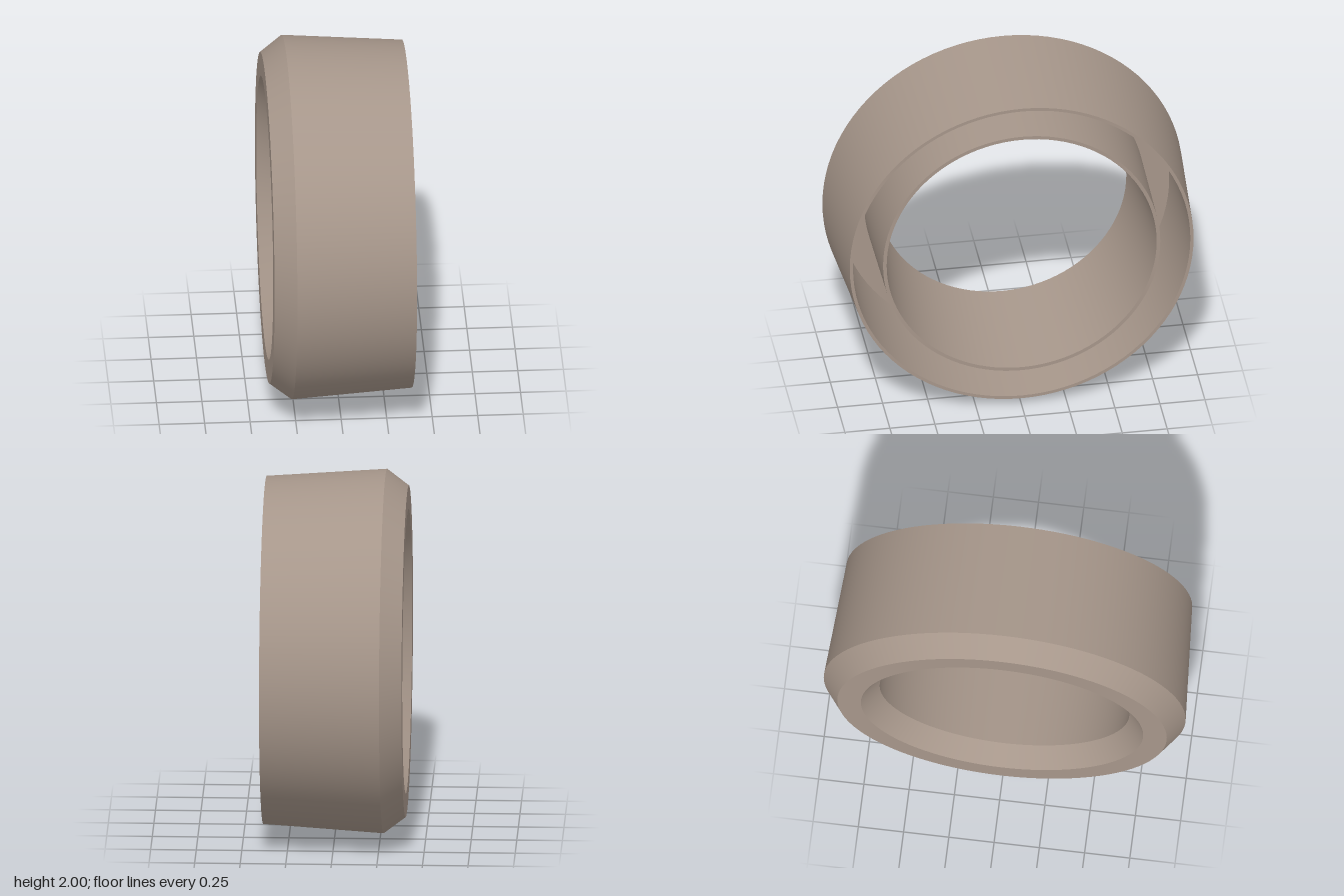
import * as THREE from 'three';
import { mergeGeometries } from 'three/addons/utils/BufferGeometryUtils.js';

const SEGMENTS = 96;

// Revolve a profile of [radius, x] points around the x axis, keeping a crisp edge at every point.
function revolve(profile) {
  const bands = [];
  for (let i = 0; i < profile.length - 1; i++) {
    const ends = [profile[i], profile[i + 1]].map(([r, x]) => new THREE.Vector2(r, x));
    bands.push(new THREE.LatheGeometry(ends, SEGMENTS));
  }
  return mergeGeometries(bands).rotateZ(-Math.PI / 2);
}

export function createModel() {
  const group = new THREE.Group();
  group.name = 'hollowRing';
  const taupe = new THREE.MeshStandardMaterial({ color: 0xa6968a });
  taupe.name = 'taupe';

  const addPart = (name, profile) => {
    const mesh = new THREE.Mesh(revolve(profile), taupe);
    mesh.name = name;
    mesh.position.y = 1;
    group.add(mesh);
  };

  // Closed face and chamfered, slightly tapered outer wall with its thin rim
  addPart('outerShell', [[0.78, -0.39], [0.91, -0.39], [1.0, -0.27], [0.955, 0.39], [0.937, 0.39]]);
  // Deep groove open towards +x
  addPart('groove', [[0.937, 0.39], [0.917, -0.21], [0.777, -0.21], [0.77, 0.39]]);
  // Thin inner rim, tapered bore and bevelled mouth
  addPart('innerSleeve', [[0.77, 0.39], [0.75, 0.39], [0.69, -0.28], [0.78, -0.39]]);

  return group;
}
